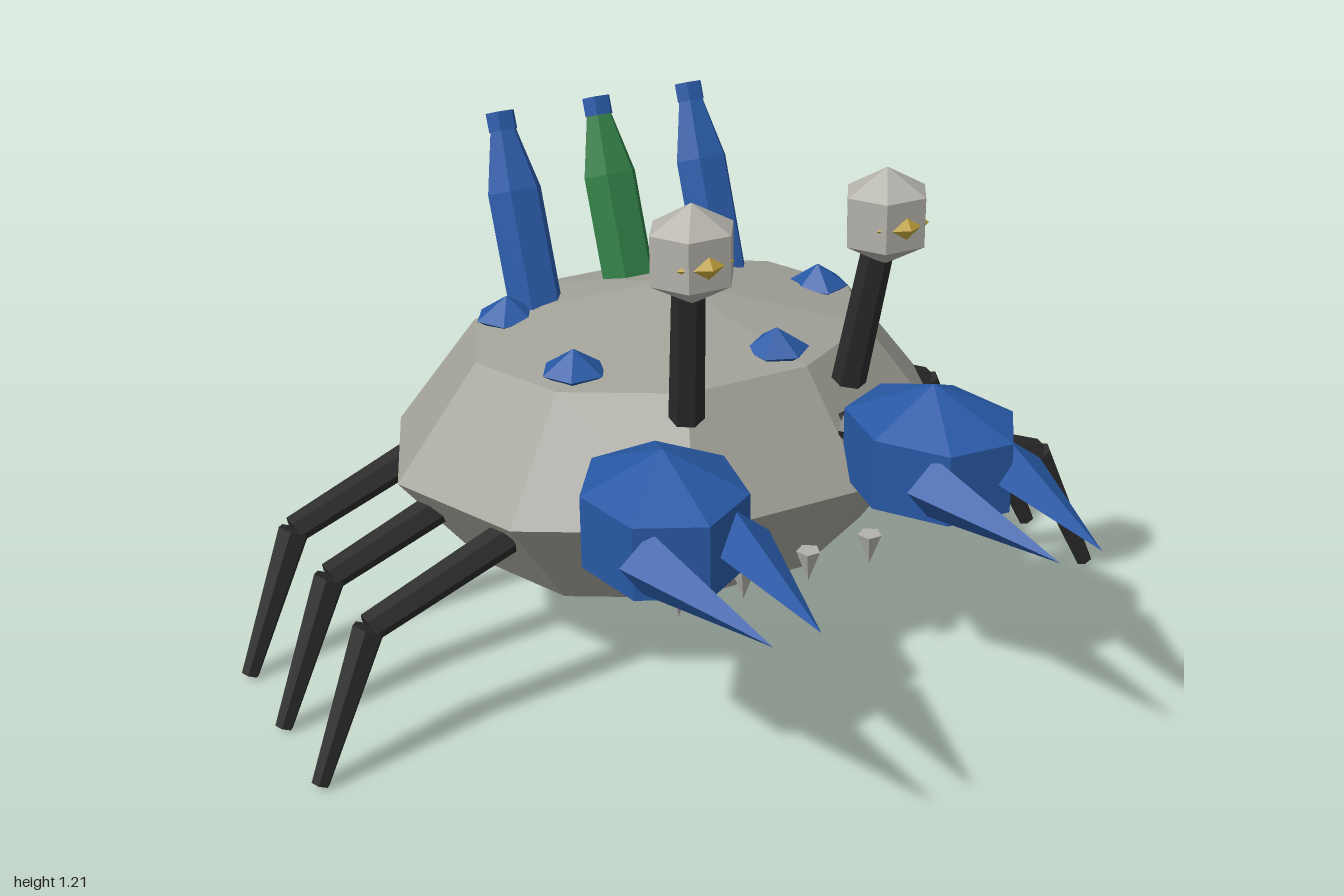
import * as THREE from 'three';

const mat = (name, color) => {
  const m = new THREE.MeshStandardMaterial({ color, flatShading: true });
  m.name = name;
  return m;
};

export function createModel() {
  const shell = mat('shell grey', 0xa3a299);
  const pale = mat('pale grey', 0xb3b1aa);
  const blue = mat('blue', 0x2858a4);
  const dark = mat('charcoal', 0x2a2a2a);
  const green = mat('green', 0x2e7a42);
  const gold = mat('gold', 0xc4a53a);

  const model = new THREE.Group();
  model.name = 'crab';
  const V = (x, y, z) => new THREE.Vector3(x, y, z);

  const add = (name, geo, material, x = 0, y = 0, z = 0, parent = model) => {
    const m = new THREE.Mesh(geo, material);
    m.name = name;
    m.position.set(x, y, z);
    parent.add(m);
    return m;
  };
  // Scaled low-poly ball
  const ball = (rx, ry, rz, w, h) => new THREE.SphereGeometry(1, w, h).scale(rx, ry, rz);
  // Tapered rod from a to b
  const rod = (name, a, b, ra, rb, material, sides = 6) => {
    const d = b.clone().sub(a);
    const m = add(name, new THREE.CylinderGeometry(rb, ra, d.length(), sides), material);
    m.position.copy(a).add(b).multiplyScalar(0.5);
    m.quaternion.setFromUnitVectors(V(0, 1, 0), d.normalize());
    return m;
  };

  // Faceted shell
  add('shell', ball(0.66, 0.345, 0.533, 10, 4), shell, 0, 0.487, -0.305);

  for (const s of [1, -1]) {
    const side = s > 0 ? 'left' : 'right';

    // Three jointed legs per side
    for (let i = 0; i < 3; i++) {
      const z = -0.24 * i;
      const knee = V(s * 0.838, 0.325, z - 0.03);
      rod(side + 'UpperLeg', V(s * 0.515, 0.44, z - 0.055), knee, 0.037, 0.032, dark);
      rod(side + 'LowerLeg', knee, V(s * 0.98, 0.011, z + 0.005), 0.036, 0.02, dark);
    }

    // Short bent arm and claw
    const elbow = V(s * 0.2, 0.6, 0.115);
    rod(side + 'UpperArm', V(s * 0.28, 0.58, 0.05), elbow, 0.035, 0.035, dark);
    rod(side + 'Forearm', elbow, V(s * 0.31, 0.585, 0.24), 0.035, 0.03, dark);
    const palm = add(side + 'Palm', ball(0.195, 0.157, 0.232, 7, 3), blue, s * 0.317, 0.585, 0.28);
    palm.rotation.y = s * 0.2;
    for (const [bx, tx] of [[0.425, 0.365], [0.225, 0.265]]) {
      rod(side + 'Pincer', V(s * bx, 0.585, 0.42), V(s * tx, 0.585, 0.8), 0.065, 0, blue, 4);
    }

    // Eye on a stalk
    rod(side + 'EyeStalk', V(s * 0.193, 0.725, 0.145), V(s * 0.22, 1.07, 0.212), 0.037, 0.033, dark);
    add(side + 'Eye', ball(0.105, 0.103, 0.098, 6, 3), pale, s * 0.22, 1.112, 0.226);
    add(side + 'Pupil', new THREE.OctahedronGeometry(1).scale(0.062, 0.042, 0.03),
      gold, s * 0.222, 1.107, 0.286);
  }

  // Teeth pointing down
  for (const x of [-0.235, -0.08, 0.08, 0.235]) {
    const tooth = add('tooth', new THREE.ConeGeometry(0.027, 0.075, 5), pale, x, 0.325, 0.18);
    tooth.rotation.x = Math.PI;
  }

  // Barnacles on the shell
  [[-0.32, -0.47], [0.115, -0.585], [0.385, -0.305], [-0.315, -0.13], [0.115, -0.025]]
    .forEach(([x, z], i) => {
      add('barnacle', ball(0.072, 0.048, 0.072, 6, 2), blue, x, 0.75, z).rotation.y = i * 0.7;
    });

  // Leaning bottles with caps
  const profile = [[0, 0], [0.064, 0], [0.064, 0.29], [0.03, 0.43], [0, 0.43]]
    .map(([r, y]) => new THREE.Vector2(r, y));
  for (const x of [-0.237, 0, 0.237]) {
    const bottle = new THREE.Group();
    bottle.name = 'bottle';
    bottle.position.set(x, 0.72, -0.49);
    bottle.rotation.x = -0.368;
    model.add(bottle);
    add('bottleBody', new THREE.LatheGeometry(profile, 6).rotateY(Math.PI / 6),
      x === 0 ? green : blue, 0, 0, 0, bottle);
    add('bottleCap', new THREE.CylinderGeometry(0.034, 0.034, 0.042, 6).rotateY(Math.PI / 6),
      blue, 0, 0.447, 0, bottle);
  }

  return model;
}
